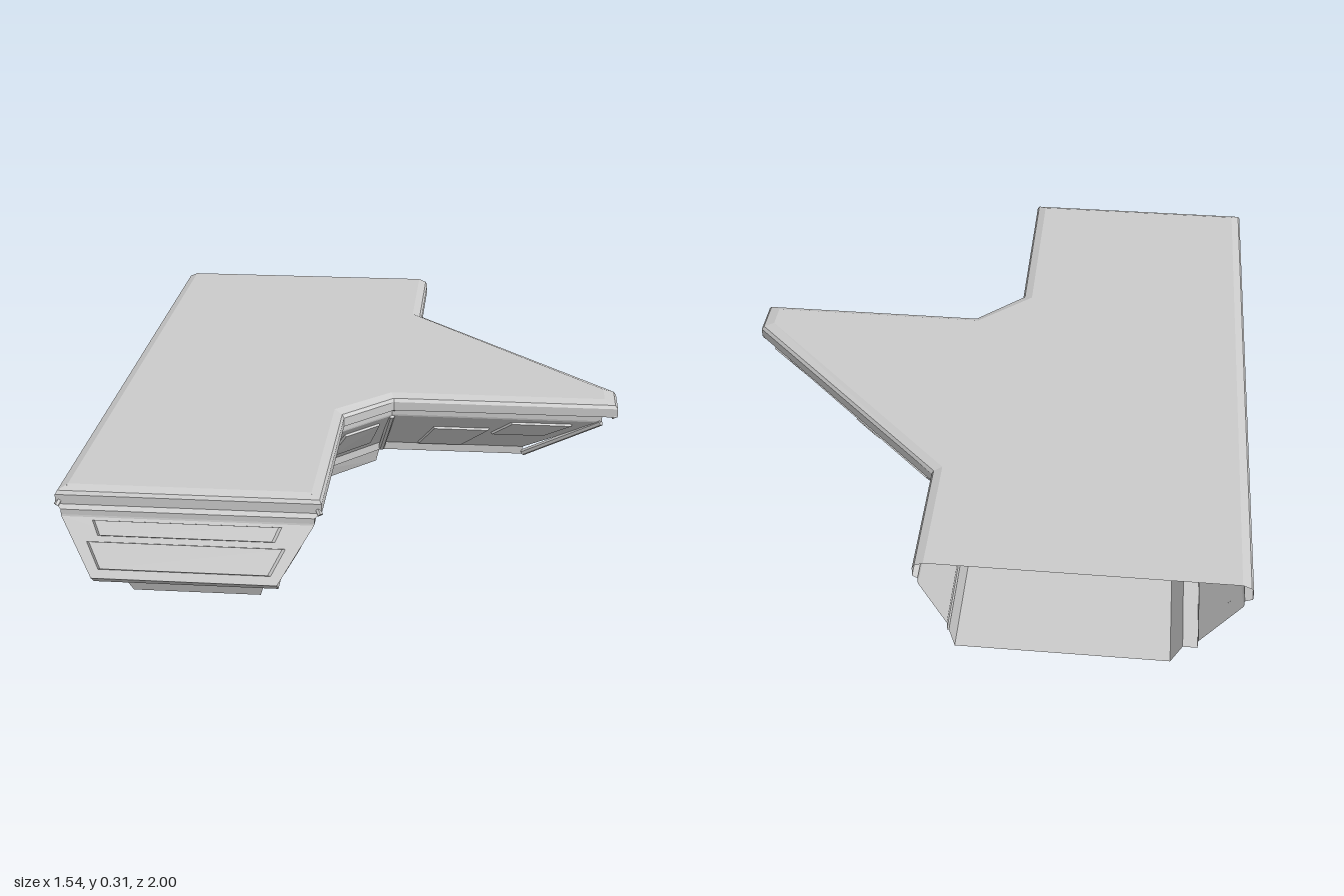
import * as THREE from 'three';

const material = new THREE.MeshStandardMaterial({ color: 0xcccccc, flatShading: true, side: THREE.DoubleSide });

// Plan outlines [x, z], open along the back edge at z = -1
const deckEdge = [[.1, -1], [.1, -.6], [.73, .06], [.73, .14], [.08, .14], [-.08, .29], [-.08, .87], [-.74, .87], [-.74, -1]];
const rim = [[.13, -1], [.13, -.61], [.77, .05], [.77, .17], [.09, .17], [-.05, .31], [-.05, .9], [-.77, .9], [-.77, -1]];
const keel = [[.04, -1], [.04, -.52], [.49, -.04], [.49, .03], [.04, .03], [-.17, .25], [-.16, .97], [-.66, .97], [-.64, -1]];
const nose = keel.map(([x, z]) => [x, z > .9 ? 1 : z]);
const slabTop = [[.035, -1], [.035, 0], [-.2, .24], [-.2, .92], [-.6, .92], [-.6, -1]];
const slabBase = [[.02, -1], [.02, -.01], [-.22, .23], [-.22, .9], [-.57, .9], [-.57, -1]];

const blend = (a, b, t) => a.map((p, i) => [p[0] + (b[i][0] - p[0]) * t, p[1] + (b[i][1] - p[1]) * t]);
const lift = (outline, y) => outline.map(([x, z]) => new THREE.Vector3(x, y, z));

function meshFrom(name, triangles) {
  const geometry = new THREE.BufferGeometry().setFromPoints(triangles);
  geometry.computeVertexNormals();
  const mesh = new THREE.Mesh(geometry, material);
  mesh.name = name;
  return mesh;
}

// Wall through a stack of rings, listed from top to bottom
function loft(name, rings) {
  const tris = [];
  for (let r = 0; r < rings.length - 1; r++) {
    const a = rings[r], b = rings[r + 1];
    for (let i = 0; i < a.length - 1; i++) tris.push(a[i], a[i + 1], b[i], a[i + 1], b[i + 1], b[i]);
  }
  return meshFrom(name, tris);
}

// Flat horizontal face
function sheet(name, outline, y, up) {
  const contour = outline.map(([x, z]) => new THREE.Vector2(x, -z));
  const points = lift(outline, y), tris = [];
  for (const [a, b, c] of THREE.ShapeUtils.triangulateShape(contour, [])) {
    const cross = (contour[b].x - contour[a].x) * (contour[c].y - contour[a].y)
      - (contour[b].y - contour[a].y) * (contour[c].x - contour[a].x);
    if ((cross > 0) === up) tris.push(points[a], points[b], points[c]);
    else tris.push(points[a], points[c], points[b]);
  }
  return meshFrom(name, tris);
}

// Raised plate on one wall; u runs along the wall, v from top to bottom
function wallPlate(name, top, low, wall, u0, u1, v0, v1, height = .007) {
  const at = (u, v) => top[wall].clone().lerp(top[wall + 1], u).lerp(low[wall].clone().lerp(low[wall + 1], u), v);
  const base = [at(u0, v0), at(u1, v0), at(u1, v1), at(u0, v1)];
  const out = base[1].clone().sub(base[0]).cross(base[3].clone().sub(base[0])).normalize();
  const centre = at((u0 + u1) / 2, (v0 + v1) / 2);
  const face = base.map(p => p.clone().lerp(centre, .03).addScaledVector(out, height));
  const tris = [face[0], face[1], face[2], face[0], face[2], face[3]];
  for (let i = 0; i < 4; i++) {
    const j = (i + 1) % 4;
    tris.push(base[i], base[j], face[i], base[j], face[j], face[i]);
  }
  return meshFrom(name, tris);
}

function strut(name, a, b, radius) {
  const mesh = new THREE.Mesh(new THREE.CylinderGeometry(radius, radius, a.distanceTo(b), 6), material);
  mesh.position.copy(a).lerp(b, .5);
  mesh.quaternion.setFromUnitVectors(new THREE.Vector3(0, 1, 0), b.clone().sub(a).normalize());
  mesh.name = name;
  return mesh;
}

export function createModel() {
  const model = new THREE.Group();
  model.name = 'platform';

  // Deck and sloping walls with a groove below the rim
  const wallTop = lift(blend(rim, nose, .17), .24), wallLow = lift(nose, .1);
  model.add(sheet('deck', deckEdge, .315, true));
  model.add(loft('rimBand', [
    lift(deckEdge, .315), lift(blend(rim, deckEdge, .2), .305), lift(rim, .295), lift(rim, .268),
    lift(blend(rim, nose, .16), .26), lift(blend(rim, nose, .16), .245), wallTop]));
  model.add(loft('hullWalls', [wallTop, wallLow, lift(keel, .075)]));

  // Underside around the lower slab, and the slab itself
  model.add(sheet('underside', [...keel, ...slabTop.slice().reverse()], .075, false));
  model.add(loft('slabWalls', [lift(slabTop, .075), lift(slabBase, .015)]));
  model.add(sheet('slabFloor', slabBase, .015, false));

  // Wall plates: wall, u0, u1, v0, v1
  const plates = [
    [0, .1, .9, .1, .55], [0, .25, .75, .6, .92],
    [1, .06, .94, .06, .2], [1, .06, .94, .8, .95], [1, .06, .12, .2, .8], [1, .88, .94, .2, .8],
    [2, .2, .8, .2, .8], [3, .45, .75, .35, .95], [3, .1, .4, .1, .5],
    [4, .2, .8, .15, .8], [5, .1, .5, .1, .4], [5, .45, .95, .45, .9],
    [6, .12, .88, .05, .3], [6, .06, .94, .4, .85],
    [7, .03, .2, .2, .8], [7, .24, .5, .1, .5], [7, .3, .62, .58, .9], [7, .66, .97, .2, .75],
  ];
  for (const plate of plates) model.add(wallPlate('wallPlate', wallTop, wallLow, ...plate));

  // Row of small fittings on the angled wall of the arm
  for (let i = 0; i < 5; i++) {
    const u = .42 + i * .025;
    model.add(wallPlate('fitting', wallTop, wallLow, 1, u, u + .016, .22, .34, .012));
  }

  // Corner struts
  for (let i = 1; i < 8; i++) {
    if (i < 6) model.add(strut('cornerStrut', wallTop[i], lift(keel, .08)[i], .01));
    model.add(strut('rimJoint', lift(deckEdge, .308)[i], lift(blend(rim, nose, .03), .265)[i], .008));
  }

  // Ribs across the slab
  for (const [z, right] of [[.74, -.2], [.31, -.2], [-.25, .035], [-.67, .035]]) {
    const shape = new THREE.Shape([[-.61, .075], [-.58, 0], [right - .005, 0], [right + .012, .075]]
      .map(p => new THREE.Vector2(...p)));
    const rib = new THREE.Mesh(new THREE.ExtrudeGeometry(shape, { depth: .02, bevelEnabled: false }), material);
    rib.position.z = z - .01;
    rib.name = 'slabRib';
    model.add(rib);
  }
  return model;
}
